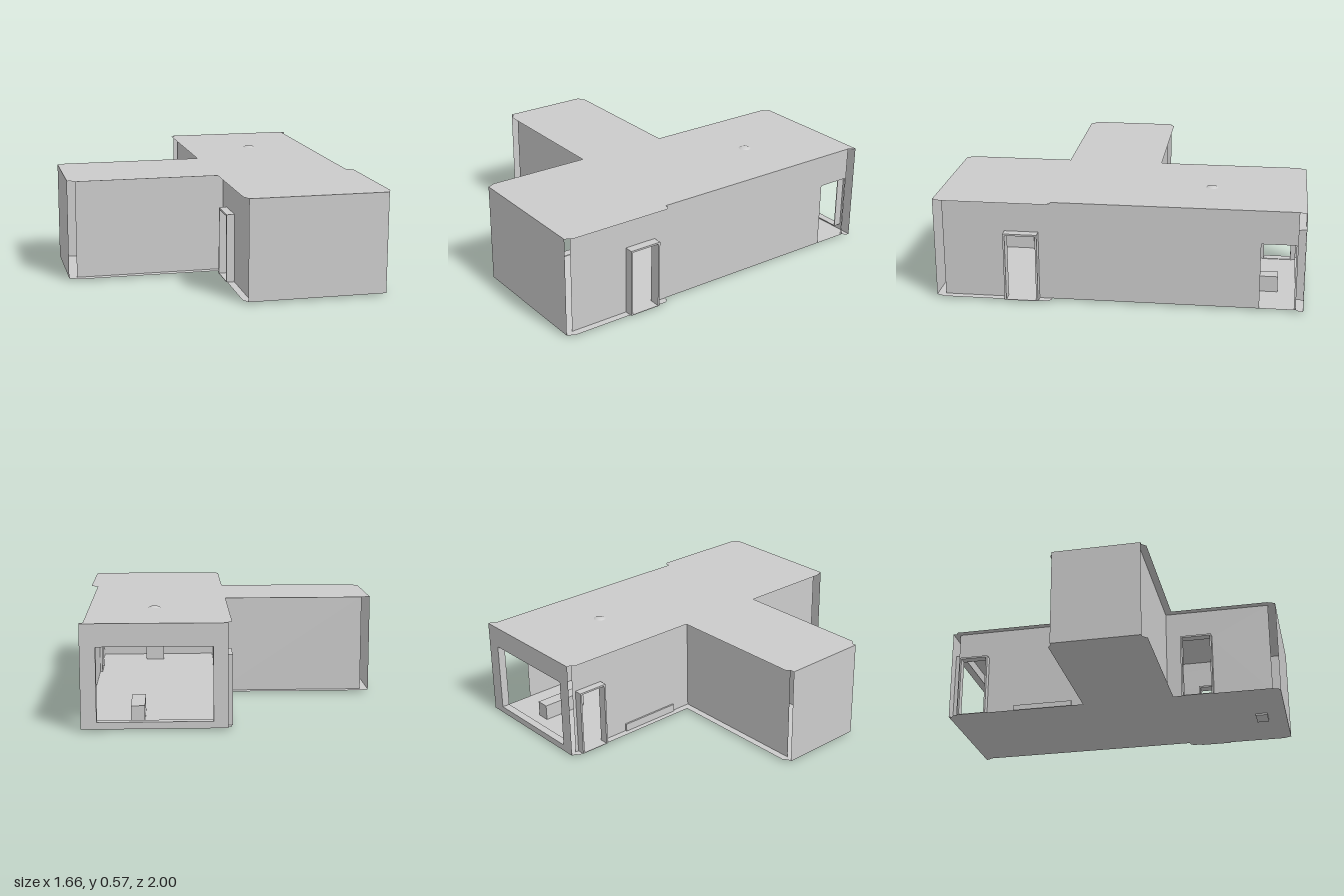
import * as THREE from 'three';

const FLOOR = 0.01, ROOF = 0.565;

export function createModel() {
  const model = new THREE.Group();
  const mat = new THREE.MeshStandardMaterial({ color: 0xcccccc, side: THREE.DoubleSide });

  function add(name, geo, x = 0, y = 0, z = 0) {
    const mesh = new THREE.Mesh(geo, mat);
    mesh.name = name;
    mesh.position.set(x, y, z);
    model.add(mesh);
    return mesh;
  }

  // Box given by its minimum and maximum corners
  function block(name, x0, x1, y0, y1, z0, z1) {
    add(name, new THREE.BoxGeometry(x1 - x0, y1 - y0, z1 - z0), (x0 + x1) / 2, (y0 + y1) / 2, (z0 + z1) / 2);
  }

  const rect = (C, a0, a1, b0, b1) => {
    const c = new C();
    c.moveTo(a0, b0);
    c.lineTo(a1, b0);
    c.lineTo(a1, b1);
    c.lineTo(a0, b1);
    c.closePath();
    return c;
  };

  // Thin wall at a fixed x or z, with rectangular openings [a0, a1, y0, y1]
  function wall(name, axis, at, a0, a1, openings = []) {
    const shape = rect(THREE.Shape, a0, a1, FLOOR, ROOF);
    openings.forEach((o) => shape.holes.push(rect(THREE.Path, ...o)));
    const geo = new THREE.ShapeGeometry(shape);
    if (axis === 'x') add(name, geo.rotateY(-Math.PI / 2), at, 0, 0);
    else add(name, geo, 0, 0, at);
  }

  // T-shaped floor and roof sheets with clipped corners
  const outline = [
    [0.035, -1], [0.8, -1], [0.8, -0.98], [0.78, -0.965], [0.78, 0.36], [0.8, 0.36], [0.82, 0.38],
    [0.82, 0.955], [0.8, 1], [0.035, 1], [0.015, 0.955], [0.015, 0.38], [-0.785, 0.38],
    [-0.81, 0.355], [-0.83, 0.355], [-0.83, -0.14], [-0.81, -0.14], [-0.785, -0.16],
    [0.015, -0.16], [0.015, -0.965], [0.035, -0.98],
  ].map(([x, z]) => new THREE.Vector2(x, -z));
  for (const [name, y] of [['floor', FLOOR], ['roof', ROOF]]) {
    add(name, new THREE.ShapeGeometry(new THREE.Shape(outline)).rotateX(-Math.PI / 2), 0, y, 0);
  }

  // End walls; the back one holds a large window
  wall('frontWall', 'z', 1, 0.035, 0.8);
  wall('backWall', 'z', -1, 0.035, 0.8, [[0.11, 0.72, 0.045, 0.445]]);
  wall('wingEndWall', 'x', -0.83, -0.14, 0.355);

  // Side walls, set in from the floor edge
  wall('leftWall', 'x', 0.78, -0.96, 0.955, [
    [-0.95, -0.765, 0.0101, 0.38], [0.44, 0.605, 0.0101, 0.385],
  ]);
  wall('rightBackWall', 'x', 0.055, -0.96, -0.12, [[-0.93, -0.775, 0.0101, 0.38]]);
  wall('rightFrontWall', 'x', 0.055, 0.34, 0.955, [[0.44, 0.605, 0.0101, 0.385]]);
  wall('wingFrontWall', 'z', 0.34, -0.785, 0.055);
  wall('wingBackWall', 'z', -0.12, -0.785, 0.055);

  // Door frames standing out from the side walls
  function doorFrame(name, x0, x1, z0, z1, top) {
    const t = 0.01;
    block(name + 'Jamb', x0, x1, FLOOR, top, z0 - t, z0);
    block(name + 'Jamb', x0, x1, FLOOR, top, z1, z1 + t);
    block(name + 'Lintel', x0, x1, top, top + t, z0 - t, z1 + t);
    block(name + 'Sill', x0, x1, FLOOR, FLOOR + 0.003, z0, z1);
  }
  doorFrame('leftDoor', 0.765, 0.83, 0.44, 0.605, 0.383);
  doorFrame('rightFrontDoor', 0.01, 0.06, 0.44, 0.605, 0.383);
  doorFrame('rightBackDoor', 0.01, 0.06, -0.93, -0.775, 0.378);

  // Window reveal
  for (const x of [0.11, 0.72]) block('windowJamb', x - 0.002, x + 0.002, 0.045, 0.445, -1, -0.955);
  for (const y of [0.045, 0.445]) block('windowLedge', 0.11, 0.72, y - 0.002, y + 0.002, -1, -0.955);

  // Low skirting, floor blocks and ceiling lamp
  block('skirting', 0.045, 0.06, FLOOR, 0.055, -0.6, -0.24);
  block('backBench', 0.47, 0.545, FLOOR, 0.1, -0.86, -0.59);
  block('frontBlock', 0.38, 0.495, 0, 0.1, 0.82, 0.89);
  add('ceilingLamp', new THREE.SphereGeometry(0.065, 24, 16), 0.42, 0.51, -0.48);

  return model;
}
